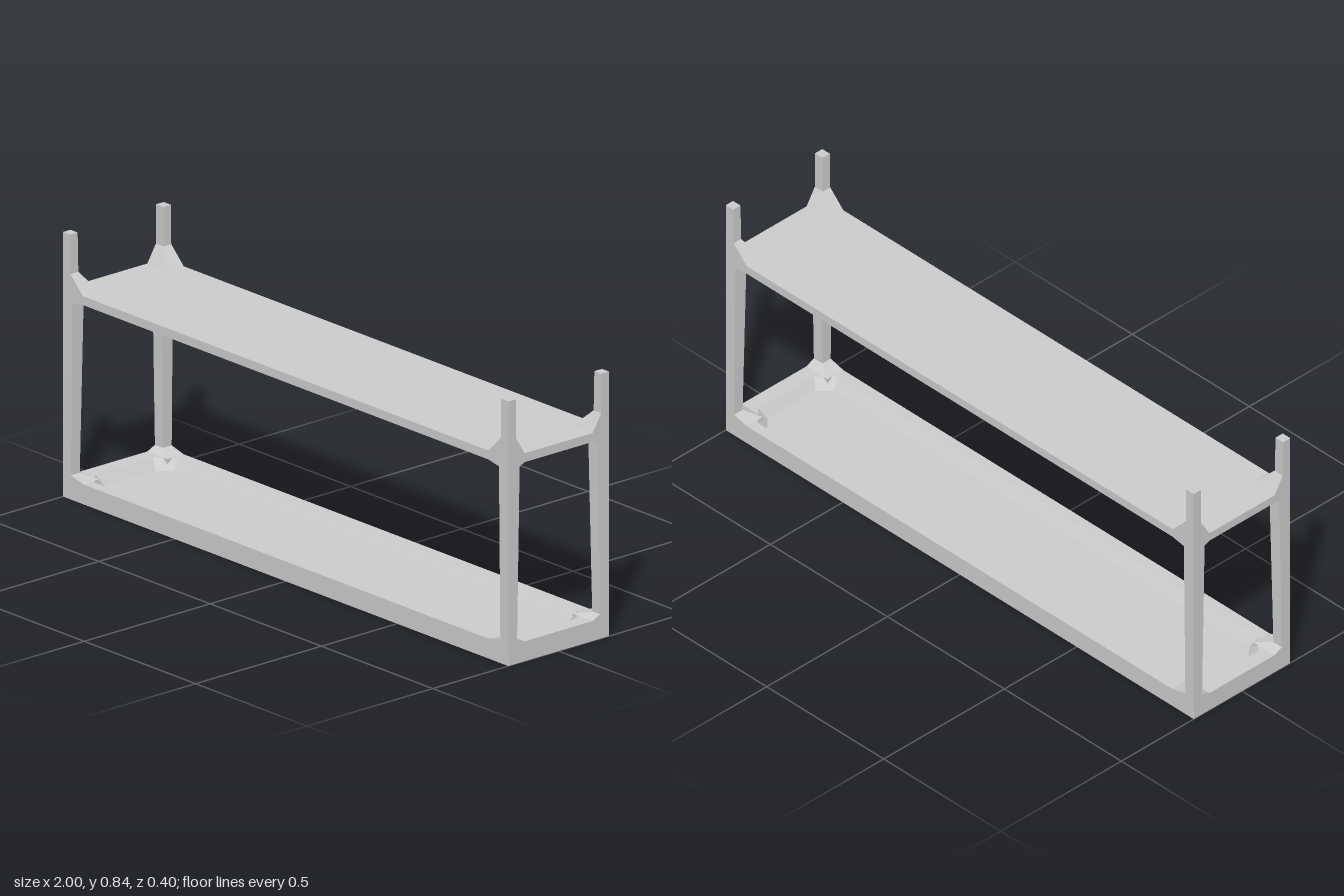
import * as THREE from 'three';

const material = new THREE.MeshStandardMaterial({ color: 0xcccccc, flatShading: true });

// Joins stacked convex loops (counter-clockwise seen from above) and caps both ends
function loft(loops) {
  const pos = [];
  const tri = (a, b, c) => pos.push(...a, ...b, ...c);
  const n = loops[0].length;
  for (let k = 0; k < loops.length - 1; k++) {
    for (let i = 0; i < n; i++) {
      const j = (i + 1) % n;
      const [a, b, c, d] = [loops[k][i], loops[k][j], loops[k + 1][j], loops[k + 1][i]];
      tri(a, b, c);
      tri(a, c, d);
    }
  }
  const first = loops[0], last = loops[loops.length - 1];
  for (let i = 1; i < n - 1; i++) {
    tri(first[0], first[i + 1], first[i]);
    tri(last[0], last[i], last[i + 1]);
  }
  const geometry = new THREE.BufferGeometry();
  geometry.setAttribute('position', new THREE.Float32BufferAttribute(pos, 3));
  geometry.computeVertexNormals();
  return geometry;
}

// Rectangle with cut corners at height y
function octagon(y, hx, hz, cut) {
  return [
    [hx, y, hz - cut], [hx, y, -hz + cut], [hx - cut, y, -hz], [-hx + cut, y, -hz],
    [-hx, y, -hz + cut], [-hx, y, hz - cut], [-hx + cut, y, hz], [hx - cut, y, hz],
  ];
}

// Corner post: each section is [height, width in x, width in z] from the outer corner
function postGeometry(sx, sz, sections) {
  return loft(sections.map(([y, wx, wz]) => {
    const loop = [
      [sx, y, sz * 0.2], [sx, y, sz * (0.2 - wz)],
      [sx * (1 - wx), y, sz * (0.2 - wz)], [sx * (1 - wx), y, sz * 0.2],
    ];
    return sx * sz > 0 ? loop : loop.reverse();
  }));
}

export function createModel() {
  const model = new THREE.Group();
  const add = (name, geometry) => {
    const mesh = new THREE.Mesh(geometry, material);
    mesh.name = name;
    model.add(mesh);
    return mesh;
  };

  // Base tray: outer walls, flat rim, sloping inner walls and sunken floor
  add('baseTray', loft([
    octagon(0, 1, 0.2, 0.001),
    octagon(0.063, 1, 0.2, 0.001),
    octagon(0.063, 0.95, 0.165, 0.05),
    octagon(0.03, 0.925, 0.14, 0.04),
  ]));

  // Upper shelf
  add('shelf', new THREE.BoxGeometry(2, 0.028, 0.4)).position.y = 0.643;

  // Posts with flared feet, flares around the shelf and slim upright ends
  const sections = [
    [0.03, 0.09, 0.065], [0.063, 0.09, 0.065], [0.077, 0.036, 0.035],
    [0.62, 0.042, 0.045], [0.629, 0.09, 0.065], [0.657, 0.09, 0.065],
    [0.712, 0.034, 0.031], [0.836, 0.032, 0.03],
  ];
  for (const sx of [1, -1]) {
    for (const sz of [1, -1]) {
      add(`${sz > 0 ? 'front' : 'back'}${sx > 0 ? 'Left' : 'Right'}Post`, postGeometry(sx, sz, sections));
    }
  }
  return model;
}
